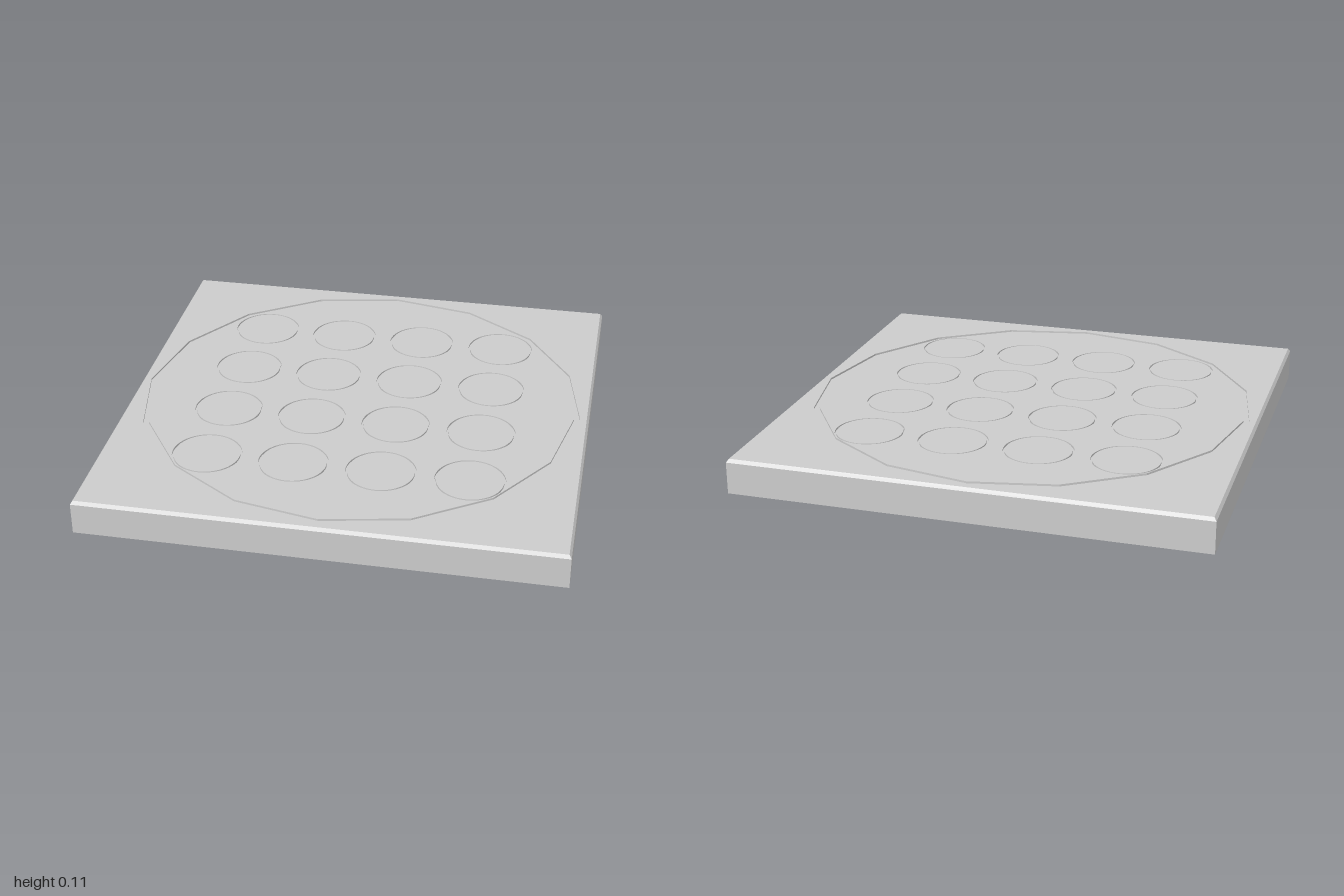
import * as THREE from 'three';
import { toCreasedNormals } from 'three/addons/utils/BufferGeometryUtils.js';

const TOP = 0.106, BEVEL = 0.01, DEPTH = 0.006;
const STEP = 0.1845; // half-diagonal of the socket grid
const FRAME = { outer: 0.68, inner: 0.662, sides: 16 };
const RING = { outer: 0.104, inner: 0.099, sides: 48 };

export function createModel() {
  const group = new THREE.Group();
  const material = new THREE.MeshStandardMaterial({ color: 0xcccccc });

  const add = (name, geometry, x = 0, z = 0) => {
    const mesh = new THREE.Mesh(geometry, material);
    mesh.name = name;
    mesh.position.set(x, 0, z);
    group.add(mesh);
  };
  const lathe = (profile, sides) => toCreasedNormals(
    new THREE.LatheGeometry(profile.map(([r, y]) => new THREE.Vector2(r, y)), sides), 0.3);
  const polygon = (r, sides, x = 0, y = 0) => Array.from({ length: sides }, (_, i) => {
    const a = (i / sides) * Math.PI * 2;
    return new THREE.Vector2(x + r * Math.cos(a), y + r * Math.sin(a));
  });
  // Horizontal face at the top level, with holes
  const face = (outline, holes = []) => {
    const shape = new THREE.Shape(outline);
    holes.forEach((h) => shape.holes.push(new THREE.Path(h)));
    return new THREE.ShapeGeometry(shape).rotateX(-Math.PI / 2).translate(0, TOP, 0);
  };
  // U-shaped channel sunk into the top
  const groove = ({ outer, inner, sides }) => lathe(
    [[outer, TOP], [outer, TOP - DEPTH], [inner, TOP - DEPTH], [inner, TOP]], sides);

  // Diamond slab: underside, walls and bevelled rim
  add('slab', lathe([[0, 0], [1, 0], [1, TOP - BEVEL], [1 - BEVEL, TOP]], 4));

  // Top border outside the sixteen-sided groove
  add('topBorder', face(polygon(1 - BEVEL, 4), [polygon(FRAME.outer, FRAME.sides)]));
  add('frameGroove', groove(FRAME));

  // Four by four grid of round grooves, turned 45 degrees
  const centres = [];
  for (let i = 0; i < 4; i++) {
    for (let j = 0; j < 4; j++) centres.push([(i - j) * STEP, (i + j - 3) * STEP]);
  }
  add('topPanel', face(polygon(FRAME.inner, FRAME.sides),
    centres.map(([x, z]) => polygon(RING.outer, RING.sides, x, -z))));
  const ringGeometry = groove(RING);
  const discGeometry = face(polygon(RING.inner, RING.sides));
  centres.forEach(([x, z]) => {
    add('ringGroove', ringGeometry, x, z);
    add('disc', discGeometry, x, z);
  });

  return group;
}
